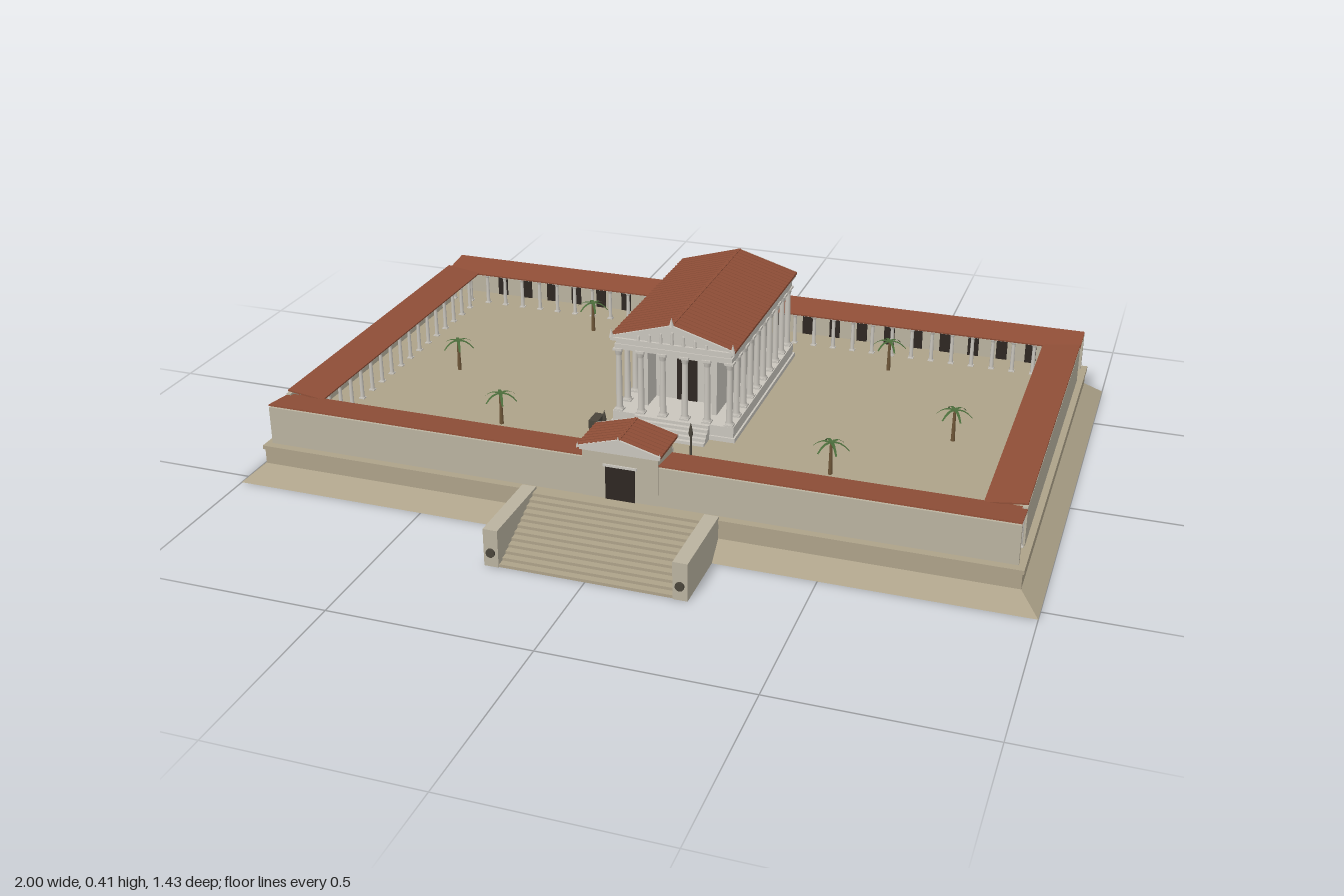
import * as THREE from 'three';
import { mergeGeometries } from 'three/addons/utils/BufferGeometryUtils.js';

const mat = (color) => new THREE.MeshStandardMaterial({ color });
const STONE = mat(0xada289), WALL = mat(0xb9b29f), MARBLE = mat(0xc9c5bd), TILE = mat(0x8f4e37);
const DARK = mat(0x2e2722), BRONZE = mat(0x4a453b), LEAF = mat(0x4a6b3a), TRUNK = mat(0x6e5638);
const FOOT = mat(0xada289);
LEAF.side = FOOT.side = THREE.DoubleSide;
const G = 0.09; // courtyard level

function add(parent, name, geo, material) {
  const m = new THREE.Mesh(geo, material);
  m.name = name;
  parent.add(m);
  return m;
}
// box geometry standing on y
const boxAt = (w, h, d, x, y, z) => new THREE.BoxGeometry(w, h, d).translate(x, y + h / 2, z);
const box = (parent, name, material, ...a) => add(parent, name, boxAt(...a), material);

// sloped skirt, open at top and bottom, drawn in by `inset` at the top
function skirt(w, h, d, inset, z) {
  const geo = new THREE.BoxGeometry(w, h, d), p = geo.attributes.position;
  for (let i = 0; i < p.count; i++) {
    if (p.getY(i) > 0) p.setXYZ(i, p.getX(i) - Math.sign(p.getX(i)) * inset, p.getY(i), p.getZ(i) - Math.sign(p.getZ(i)) * inset);
  }
  const index = Array.from(geo.index.array);
  geo.setIndex([...index.slice(0, 12), ...index.slice(24)]);
  geo.clearGroups();
  geo.computeVertexNormals();
  return geo.translate(0, h / 2, z);
}

// column with plinth, swelling shaft, flared capital and abacus
function columnGeo(r, h, sides) {
  const pts = [[1.35, 0.02], [1.35, 0.04], [1, 0.06], [0.98, 0.4], [0.84, 0.88], [0.95, 0.89], [1.3, 0.97]];
  const shaft = new THREE.LatheGeometry(pts.map(([a, b]) => new THREE.Vector2(a * r, b * h)), sides);
  return mergeGeometries([shaft, boxAt(r * 2.8, h * 0.025, r * 2.8, 0, 0, 0), boxAt(r * 2.8, h * 0.035, r * 2.8, 0, h * 0.965, 0)]);
}
function columns(parent, name, geo, spots, y) {
  add(parent, name, mergeGeometries(spots.map(([x, z]) => geo.clone().translate(x, y, z))), MARBLE);
}
const spread = (a, b, n) => Array.from({ length: n }, (_, i) => a + (b - a) * i / (n - 1));

// prism along z from an outline in x and y
function prism(outline, z0, z1) {
  const s = new THREE.Shape(outline.map(([x, y]) => new THREE.Vector2(x, y)));
  return new THREE.ExtrudeGeometry(s, { depth: z1 - z0, bevelEnabled: false }).translate(0, 0, z0);
}

// gabled roof with pediments, tile ribs and end ornaments
function gable(parent, hw, y0, y1, z0, z1, ribs, orn) {
  const t = 0.006, inset = orn * 0.5;
  add(parent, 'pediment', prism([[-hw * 0.95, y0], [hw * 0.95, y0], [0, y1 - t]], z0 + inset, z1 - inset), MARBLE);
  const slope = Math.atan2(y1 - y0 - t, hw), len = Math.hypot(hw, y1 - y0 - t);
  for (const s of [-1, 1]) {
    const o = [[0, y1 - t], [0, y1], [s * hw, y0 + t], [s * hw, y0]];
    add(parent, 'roofSlope', prism(o, z0, z1), TILE);
    const parts = spread(z0 + 0.006, z1 - 0.006, ribs).map((z) =>
      new THREE.BoxGeometry(len, 0.003, 0.005).rotateZ(-s * slope).translate(s * hw / 2, (y0 + t + y1) / 2, z));
    add(parent, 'tileRibs', mergeGeometries(parts), TILE);
    for (const z of [z0, z1]) add(parent, 'rakingCornice', prism(o, z - 0.003, z + 0.003), MARBLE);
    add(parent, 'cornerOrnament', new THREE.ConeGeometry(orn * 0.4, orn * 1.6, 6).translate(s * (hw - orn * 0.4), y0 + t + orn * 0.7, z1), MARBLE);
  }
  box(parent, 'ridge', TILE, 0.008, 0.004, z1 - z0, 0, y1 - 0.003, (z0 + z1) / 2);
  add(parent, 'ridgeOrnament', new THREE.ConeGeometry(orn * 0.5, orn * 1.8, 6).translate(0, y1 + orn * 0.6, z1), MARBLE);
}

// the skirt is hollow, so the podium's underside lies above the ground
function platform(root) {
  add(root, 'slopedFoot', skirt(2, 0.04, 1.248, 0.048, -0.091), FOOT);
  box(root, 'podium', STONE, 1.904, 0.042, 1.152, 0, 0.04, -0.091);
  box(root, 'podiumCornice', STONE, 1.912, 0.01, 1.16, 0, 0.08, -0.091);
}

// stair of separate treads, open beneath
function entranceStair(root) {
  const g = new THREE.Group();
  g.name = 'entranceStair';
  root.add(g);
  const n = 12, z0 = 0.485, z1 = 0.705, run = (z1 - z0) / n, rise = G / n;
  for (let i = 0; i < n; i++) box(g, 'step', STONE, 0.43, rise, run * 1.1, 0, G - rise * (i + 1), z0 + run * (i + 0.5));
  for (const s of [-1, 1]) {
    box(g, 'stairCheek', WALL, 0.036, 0.096, 0.229, s * 0.23, 0, 0.48 + 0.1145);
    add(g, 'cheekBoss', new THREE.CylinderGeometry(0.011, 0.011, 0.012, 12).rotateX(Math.PI / 2).translate(s * 0.23, 0.037, 0.709), BRONZE);
  }
}

function porticoes(root) {
  const g = new THREE.Group();
  g.name = 'porticoes';
  root.add(g);
  const col = columnGeo(0.0055, 0.09, 8), zm = -0.095, tilt = 0.13;
  for (const s of [-1, 1]) {
    // long front and back ranges
    const zo = zm + s * 0.557, zi = zm + s * 0.477;
    box(g, 'longWall', WALL, 1.88, 0.1, 0.012, 0, G, zo);
    box(g, 'longBeam', MARBLE, 1.87, 0.006, 0.012, 0, 0.177, zi);
    add(g, 'longRoof', new THREE.BoxGeometry(1.88, 0.004, 0.1).rotateX(-s * tilt).translate(0, 0.189, zm + s * 0.513), TILE);
    columns(g, 'longColonnade', col, spread(-0.93, 0.93, 34).map((x) => [x, zi]), G);
    const doors = spread(-0.8, 0.8, 21).filter((x) => s < 0 || Math.abs(x) > 0.13);
    add(g, 'chamberDoors', mergeGeometries(doors.map((x) => boxAt(0.03, 0.055, 0.004, x, G, zo - s * 0.007))), DARK);
    // short side ranges
    box(g, 'sideWall', WALL, 0.012, 0.1, 0.945, s * 0.934, G, zm + 0.005);
    box(g, 'sideBeam', MARBLE, 0.012, 0.006, 0.93, s * 0.852, 0.177, zm);
    add(g, 'sideRoof', new THREE.BoxGeometry(0.1, 0.004, 0.94).rotateZ(s * tilt).translate(s * 0.89, 0.189, zm), TILE);
    columns(g, 'sideColonnade', col, spread(zm - 0.42, zm + 0.42, 16).map((z) => [s * 0.852, z]), G);
  }
}

function gatehouse(root) {
  const g = new THREE.Group();
  g.name = 'gatehouse';
  root.add(g);
  box(g, 'gateBody', WALL, 0.19, 0.135, 0.105, 0, G, 0.4175);
  box(g, 'gateEntablature', MARBLE, 0.2, 0.008, 0.114, 0, 0.213, 0.418);
  box(g, 'gateDoor', DARK, 0.074, 0.086, 0.003, 0, G, 0.471);
  box(g, 'doorLintel', MARBLE, 0.086, 0.006, 0.005, 0, G + 0.086, 0.471);
  gable(g, 0.105, 0.22, 0.255, 0.355, 0.48, 8, 0.006);
}

function temple(root) {
  const g = new THREE.Group();
  g.name = 'temple';
  root.add(g);
  const zc = -0.19, top = 0.13;
  box(g, 'templeBase', MARBLE, 0.335, 0.012, 0.575, 0, G, zc);
  box(g, 'templePodium', MARBLE, 0.325, 0.04, 0.565, 0, G, zc);
  for (let i = 0; i < 5; i++) box(g, 'templeStep', MARBLE, 0.2, 0.04 * (5 - i) / 5, 0.01, 0, G, 0.097 + i * 0.01);
  // ring of columns, six by ten
  const spots = [];
  for (const z of spread(-0.46, 0.08, 10)) spots.push([-0.148, z], [0.148, z]);
  for (const x of spread(-0.148, 0.148, 6).slice(1, 5)) spots.push([x, -0.46], [x, 0.08]);
  columns(g, 'templeColumns', columnGeo(0.0085, 0.175, 12), spots, top);
  // inner hall with a porch between projecting side walls
  box(g, 'hall', MARBLE, 0.2, 0.176, 0.41, 0, top, -0.233);
  for (const s of [-1, 1]) box(g, 'porchWall', MARBLE, 0.014, 0.176, 0.065, s * 0.093, top, 0.003);
  box(g, 'hallDoor', DARK, 0.055, 0.115, 0.004, 0, top, -0.027);
  // entablature in three bands
  box(g, 'architrave', MARBLE, 0.312, 0.014, 0.556, 0, 0.303, zc);
  box(g, 'frieze', MARBLE, 0.305, 0.014, 0.55, 0, 0.316, zc);
  box(g, 'templeCornice', MARBLE, 0.328, 0.008, 0.575, 0, 0.329, zc);
  gable(g, 0.166, 0.336, 0.391, -0.48, 0.098, 30, 0.014);
  // pediment figures, taller toward the middle
  for (const x of spread(-0.09, 0.09, 7)) {
    const h = 0.032 * (1 - Math.abs(x) / 0.14);
    add(g, 'pedimentFigure', new THREE.CylinderGeometry(0.003, 0.005, h, 6).translate(x, 0.337 + h / 2, 0.093), MARBLE);
  }
}

function courtyard(root) {
  // altar before the temple
  box(root, 'altarBase', MARBLE, 0.07, 0.01, 0.038, 0, G, 0.205);
  box(root, 'altarBlock', MARBLE, 0.058, 0.03, 0.028, 0, G + 0.01, 0.205);
  box(root, 'altarTop', MARBLE, 0.068, 0.006, 0.036, 0, G + 0.04, 0.205);
  // side monument
  box(root, 'monumentBase', MARBLE, 0.032, 0.012, 0.058, -0.175, G, 0.175);
  box(root, 'monumentBlock', BRONZE, 0.024, 0.045, 0.048, -0.175, G + 0.012, 0.175);
  // pair of slender standing lamps
  const profile = [[0.007, 0], [0.007, 0.012], [0.003, 0.02], [0.0025, 0.095], [0.006, 0.105], [0.004, 0.118], [0, 0.135]];
  for (const s of [-1, 1]) {
    add(root, 'standingLamp', new THREE.LatheGeometry(profile.map(([r, y]) => new THREE.Vector2(r, y)), 8).translate(s * 0.112, G, 0.28), BRONZE);
  }
  // palms with six drooping fronds
  const frond = new THREE.PlaneGeometry(0.046, 0.01, 4, 1).rotateX(-Math.PI / 2).translate(0.023, 0, 0);
  const p = frond.attributes.position;
  for (let i = 0; i < p.count; i++) {
    const u = p.getX(i) / 0.046;
    p.setY(i, 0.02 * u - 0.035 * u * u);
    p.setZ(i, p.getZ(i) * (1.05 - u * 0.6));
  }
  frond.computeVertexNormals();
  for (const s of [-1, 1]) {
    for (const [x, z] of [[0.437, 0.18], [0.437, -0.47], [0.687, -0.095]]) {
      const palm = new THREE.Group();
      palm.name = 'palm';
      palm.position.set(s * x, G, z);
      root.add(palm);
      add(palm, 'trunk', new THREE.CylinderGeometry(0.0035, 0.0055, 0.085, 7).translate(0, 0.0425, 0), TRUNK);
      const fronds = spread(0, 5, 6).map((i) => frond.clone().rotateY(i * Math.PI / 3).translate(0, 0.085, 0));
      add(palm, 'fronds', mergeGeometries(fronds), LEAF);
    }
  }
}

export function createModel() {
  const root = new THREE.Group();
  root.name = 'templePrecinct';
  for (const build of [platform, entranceStair, porticoes, gatehouse, temple, courtyard]) build(root);
  return root;
}
